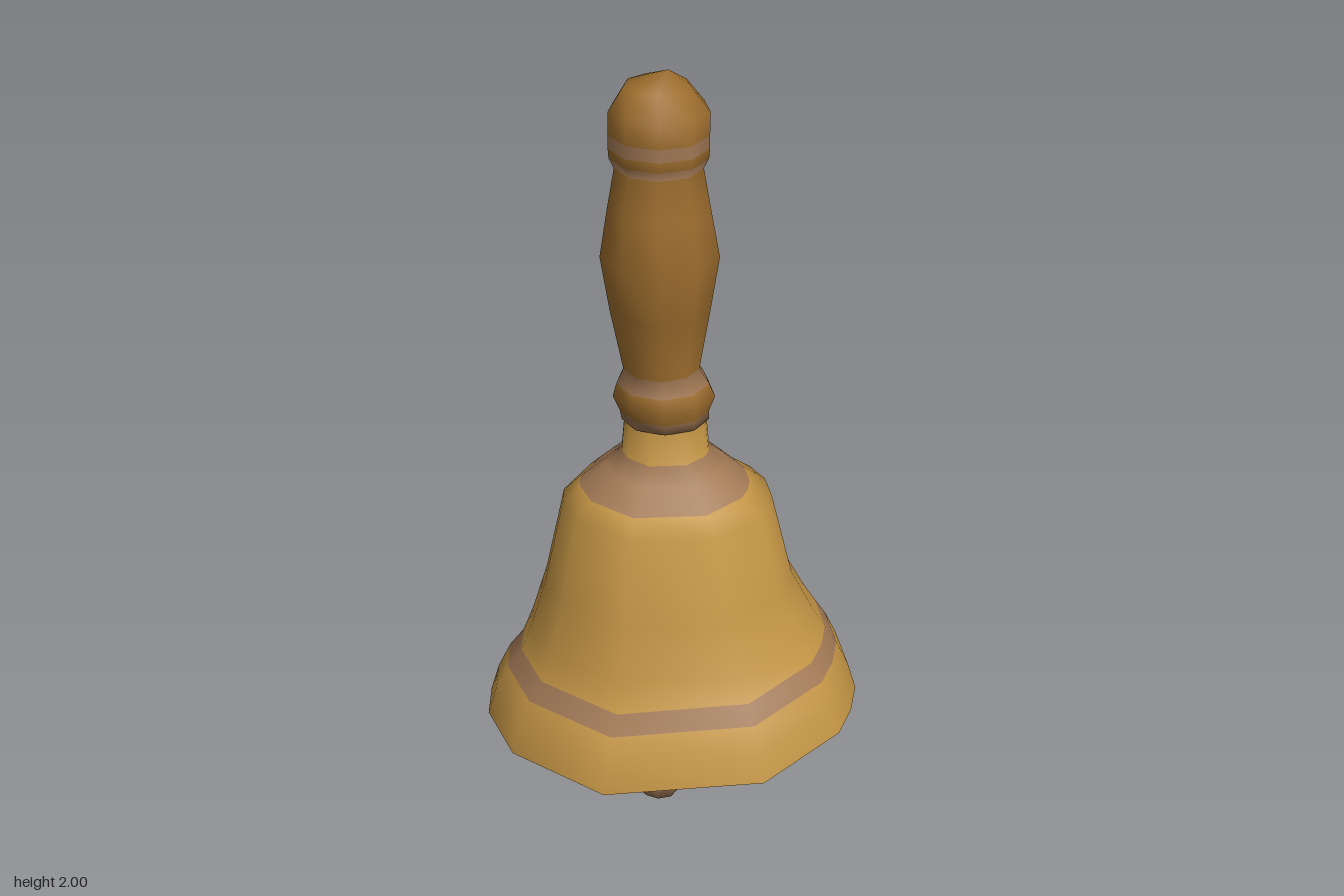
import * as THREE from 'three';
import { mergeVertices } from 'three/addons/utils/BufferGeometryUtils.js';

const material = (name, color) => {
  const m = new THREE.MeshStandardMaterial({ color });
  m.name = name;
  return m;
};

// Uneven hand-cut outline of the bell mouth, as [x, z]
const MOUTH = [
  [-0.455, -0.02], [-0.39, -0.27], [-0.2, -0.43], [-0.13, -0.45], [0.12, -0.45],
  [0.25, -0.4], [0.37, -0.29], [0.42, -0.2], [0.455, -0.1], [0.43, 0.18],
  [0.14, 0.445], [-0.16, 0.44], [-0.33, 0.34], [-0.4, 0.25],
].map(([x, z]) => [x / 0.45, z / 0.45]);

const circle = (n) => Array.from({ length: n }, (_, i) => {
  const a = (i / n) * Math.PI * 2 + 0.2;
  return [Math.cos(a), Math.sin(a)];
});

// Skins rings [y, radius, centreX, centreZ, outlineBlend, tilt]; pick(row, side) chooses a material
function loft(name, outline, rings, mats, pick) {
  const n = outline.length;
  const pos = [];
  for (const [y, r, cx = 0, cz = 0, blend = 1, tilt = 0] of rings) {
    for (const [u, v] of outline) {
      const len = Math.hypot(u, v);
      const s = r * (blend + (1 - blend) / len);
      pos.push(cx + u * s, y + tilt * (0.006 * u - 0.022 * v), cz + v * s);
    }
  }
  const buckets = mats.map(() => []);
  for (let j = 0; j < rings.length - 1; j++) {
    for (let i = 0; i < n; i++) {
      const k = (i + 1) % n;
      const a = j * n + i, b = j * n + k, c = a + n, d = b + n;
      buckets[pick(j, i)].push(a, c, d, a, d, b);
    }
  }
  let geo = new THREE.BufferGeometry();
  geo.setAttribute('position', new THREE.Float32BufferAttribute(pos, 3));
  geo.setIndex(buckets.flat());
  geo = mergeVertices(geo, 1e-5);
  geo.clearGroups();
  let start = 0;
  buckets.forEach((b, m) => {
    geo.addGroup(start, b.length, m);
    start += b.length;
  });
  geo.computeVertexNormals();
  const mesh = new THREE.Mesh(geo, mats);
  mesh.name = name;
  return mesh;
}

export function createModel() {
  const gold = material('gold', 0xc49545);
  const wood = material('wood brown', 0x9e6e2e);
  const dull = material('dull bronze', 0xa37a56);
  const group = new THREE.Group();
  group.name = 'handBell';

  // Outer bell with a dull stripe near the lip (worn away on one side) and another on the shoulder
  const bell = [
    [0.3, 0.45, 0, 0, 1, 1],
    [0.37, 0.43, 0, 0, 1, 1],
    [0.435, 0.402, 0, 0, 0.9, 1],
    [0.48, 0.372, 0, -0.004, 0.8, 1],
    [0.54, 0.345, -0.004, -0.004, 0.7, 0.6],
    [0.66, 0.302, -0.007, 0.006, 0.5],
    [0.88, 0.255, -0.008, 0.01, 0.3],
    [0.922, 0.208, -0.01, 0.018, 0.2],
    [0.975, 0.15, -0.01, 0.015, 0],
    [1.012, 0.108, -0.01, 0.015, 0],
    [1.105, 0.1, -0.01, 0.015, 0],
  ];
  group.add(loft('bell', MOUTH, bell, [gold, dull],
    (j, i) => ((j === 2 && i !== 0) || j === 7 || j === 8 ? 1 : 0)));

  // Lip and hollow inside, with a tarnished patch on the right half
  const inside = [
    [0.89, 0, -0.01, 0.015, 0],
    [0.88, 0.17, -0.01, 0.015, 0.1],
    [0.82, 0.23, -0.01, 0.01, 0.3],
    [0.64, 0.275, -0.007, 0.008, 0.5],
    [0.5, 0.33, 0, 0, 0.8, 0.6],
    [0.37, 0.395, 0, 0, 1, 1],
    [0.305, 0.425, 0, 0, 1, 1],
    [0.3, 0.45, 0, 0, 1, 1],
  ];
  const tarnishedSides = [11, 12, 13, 0];
  group.add(loft('bellInside', MOUTH, inside, [gold, dull],
    (j, i) => (j < 5 && tarnishedSides.includes(i) ? 1 : 0)));

  // Turned handle with collar, swelling grip and blunt pointed knob
  const handle = [
    [1.098, 0.08, -0.01, 0.015],
    [1.1, 0.108, -0.01, 0.015],
    [1.125, 0.11, -0.01, 0.018],
    [1.165, 0.126, -0.01, 0.02],
    [1.2, 0.114, -0.01, 0.025],
    [1.24, 0.093, -0.01, 0.03],
    [1.4, 0.122, -0.008, 0.037],
    [1.54, 0.144, -0.006, 0.04],
    [1.66, 0.124, -0.004, 0.045],
    [1.765, 0.106, 0, 0.05],
    [1.79, 0.118, 0, 0.05],
    [1.815, 0.12, 0, 0.05],
    [1.847, 0.12, 0, 0.05],
    [1.905, 0.12, 0.003, 0.052],
    [1.962, 0.078, -0.005, 0.05],
    [2.0, 0, 0.02, 0.04],
  ];
  const handleStripes = [1, 4, 9, 11];
  group.add(loft('handle', circle(9), handle, [wood, dull],
    (j) => (handleStripes.includes(j) ? 1 : 0)));

  // Clapper: faceted ball with a tarnished patch on a straight rod
  const clapper = [
    [0, 0, -0.01, 0.04],
    [0.02, 0.045, -0.01, 0.04],
    [0.07, 0.083, -0.012, 0.045],
    [0.125, 0.085, -0.012, 0.045],
    [0.165, 0.055, -0.01, 0.045],
    [0.18, 0.042, -0.01, 0.04],
    [0.88, 0.042, -0.01, 0.03],
  ];
  group.add(loft('clapper', circle(8), clapper, [wood, dull],
    (j, i) => (j === 1 && i < 2 ? 1 : 0)));

  return group;
}
